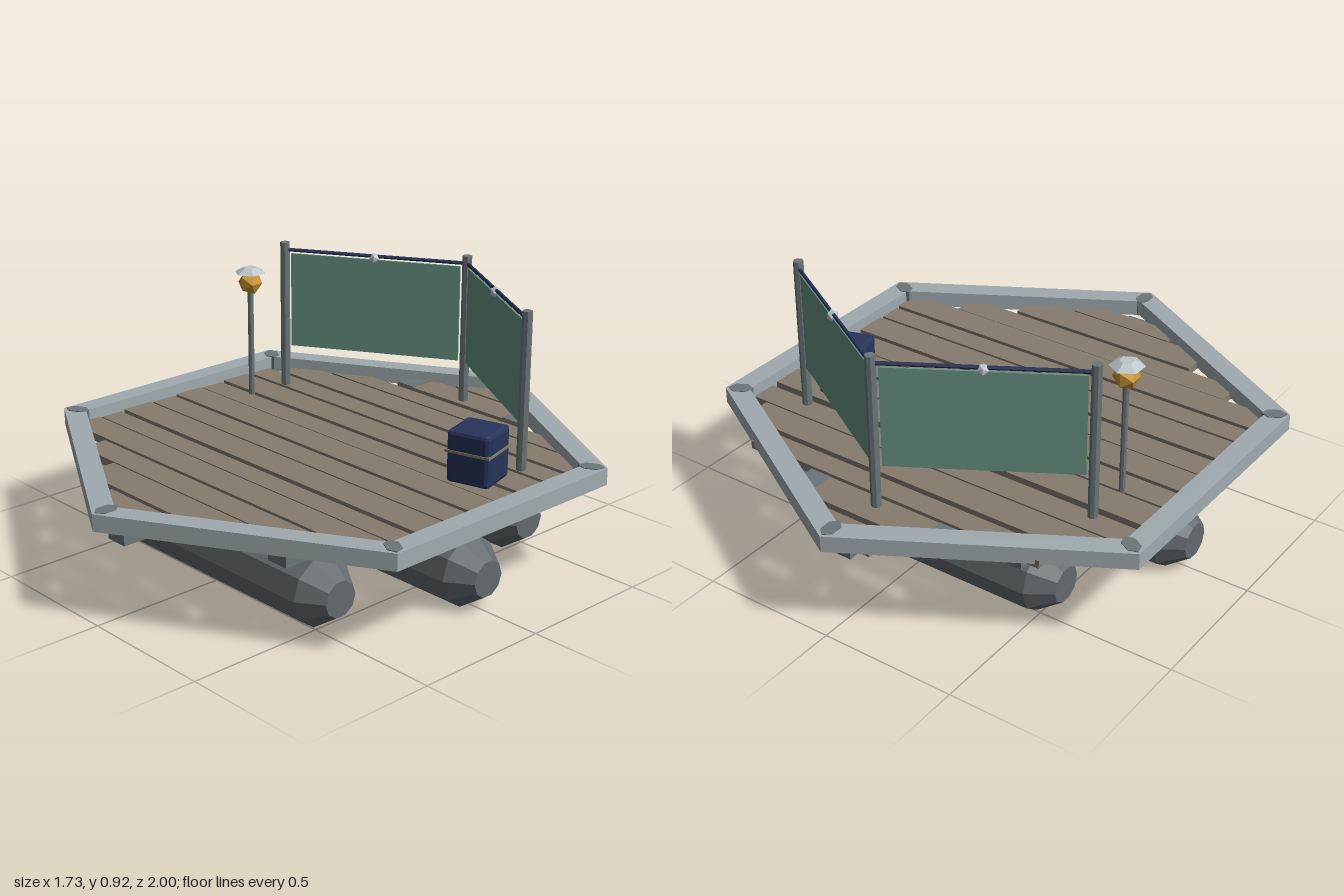
import * as THREE from 'three';
import { RoundedBoxGeometry } from 'three/addons/geometries/RoundedBoxGeometry.js';

const material = (name, color, opts = {}) => {
  const m = new THREE.MeshStandardMaterial({ color, flatShading: true, ...opts });
  m.name = name;
  return m;
};

export function createModel() {
  const root = new THREE.Group();
  const frameGrey = material('frame grey', 0xa0abaf);
  const metal = material('dark metal', 0x6b7578);
  const floatGrey = material('float grey', 0x62696d);
  const wood = material('weathered wood', 0x857c6e);
  const navy = material('navy', 0x27335a);
  const cloth = material('green cloth', 0x66907f, { side: THREE.DoubleSide });
  const gold = material('lamp gold', 0xc6952c);
  const pale = material('pale metal', 0xbcc5c9);

  const add = (name, geometry, mat, x = 0, y = 0, z = 0, parent = root) => {
    const mesh = new THREE.Mesh(geometry, mat);
    mesh.name = name;
    mesh.position.set(x, y, z);
    parent.add(mesh);
    return mesh;
  };
  const box = (name, w, h, d, mat, x, y, z, parent) =>
    add(name, new THREE.BoxGeometry(w, h, d), mat, x, y, z, parent);

  // Hexagonal rim with a corner on the z axis
  const hexPoints = (r) => Array.from({ length: 6 }, (_, i) => {
    const a = Math.PI / 2 + i * Math.PI / 3;
    return new THREE.Vector2(Math.cos(a) * r, Math.sin(a) * r);
  });
  const rim = new THREE.Shape(hexPoints(1));
  rim.holes.push(new THREE.Path(hexPoints(0.912).reverse()));
  const rimGeometry = new THREE.ExtrudeGeometry(rim, { depth: 0.06, bevelEnabled: false });
  rimGeometry.rotateX(-Math.PI / 2);
  add('deckRim', rimGeometry, frameGrey, 0, 0.34, 0);

  // Corner fittings
  hexPoints(0.945).forEach((p) => {
    const fitting = add('cornerFitting', new THREE.CylinderGeometry(0.036, 0.036, 0.06, 6), metal, p.x, 0.373, p.y);
    fitting.rotation.y = Math.atan2(p.x, p.y);
    fitting.scale.set(0.8, 1, 1.25);
  });

  // Deck planks: centre z, depth, half length
  const planks = [
    [-0.87, 0.1, 0.13], [-0.74, 0.12, 0.31], [-0.62, 0.083, 0.6], [-0.503, 0.115, 0.725],
    [-0.387, 0.094, 0.83], [-0.258, 0.117, 0.81], [-0.138, 0.095, 0.83], [-0.021, 0.117, 0.81],
    [0.098, 0.1, 0.83], [0.223, 0.122, 0.81], [0.343, 0.086, 0.83], [0.455, 0.114, 0.8],
    [0.57, 0.1, 0.59], [0.695, 0.126, 0.385], [0.81, 0.08, 0.21],
  ];
  planks.forEach(([z, depth, half], i) =>
    box('plank', half * 2, 0.03, depth, wood, 0, 0.342 + (i % 2) * 0.004, z));

  // Worn grey patches at the ends of the rear plank
  for (const s of [-1, 1]) box('wornPatch', 0.08, 0.004, 0.118, metal, s * 0.27, 0.362, -0.74);

  // Joists with dark bearing strips
  [[-0.475, 0.64], [0, 0.91], [0.475, 0.64]].forEach(([x, half]) => {
    box('joist', 0.085, 0.05, half * 2, metal, x, 0.3, 0);
    box('joistStrip', 0.08, 0.004, half * 2 - 0.1, navy, x, 0.327, 0);
  });

  // Ten-sided floats with tapered ends
  [[-0.455, 0.57], [0, 0.79], [0.455, 0.57]].forEach(([z, half]) => {
    const straight = half - 0.087;
    const profile = [[0, -half], [0.065, -half], [0.125, -straight], [0.125, straight], [0.065, half], [0, half]]
      .map(([r, h]) => new THREE.Vector2(r, h));
    const geometry = new THREE.LatheGeometry(profile, 10);
    geometry.rotateZ(Math.PI / 2);
    add('float', geometry, floatGrey, 0, 0.125, z);
  });

  // Windbreak: three posts and two cloth panels
  const middle = new THREE.Vector3(0, 0, -0.72);
  const postGeometry = new THREE.CylinderGeometry(0.018, 0.018, 0.57, 8);
  add('windbreakPost', postGeometry, metal, 0, 0.64, -0.72);
  for (const s of [-1, 1]) {
    const end = new THREE.Vector3(s * 0.605, 0, -0.36);
    add('windbreakPost', postGeometry, metal, end.x, 0.64, end.z);
    const length = end.distanceTo(middle);
    const side = new THREE.Group();
    side.name = s > 0 ? 'leftWindbreak' : 'rightWindbreak';
    side.position.addVectors(middle, end).multiplyScalar(0.5);
    side.rotation.y = -s * Math.atan2(0.36, 0.605);
    root.add(side);
    box('clothPanel', length - 0.05, 0.365, 0.008, cloth, 0, 0.7, 0, side);
    const rail = new THREE.CylinderGeometry(0.007, 0.007, length, 6);
    rail.rotateZ(Math.PI / 2);
    add('topRail', rail, navy, 0, 0.896, 0, side);
    add('railBead', new THREE.IcosahedronGeometry(0.021, 0), pale, 0, 0.888, 0, side);
  }

  // Lamp on a pole
  const lamp = new THREE.Group();
  lamp.name = 'lamp';
  lamp.position.set(-0.607, 0, -0.187);
  root.add(lamp);
  add('lampPole', new THREE.CylinderGeometry(0.011, 0.011, 0.42, 8), metal, 0, 0.56, 0, lamp);
  add('lampGlobe', new THREE.IcosahedronGeometry(0.047, 0), gold, 0, 0.8, 0, lamp);
  add('lampCap', new THREE.CylinderGeometry(0.026, 0.06, 0.02, 6), pale, 0, 0.848, 0, lamp);

  // Storage chest with a strap
  const chest = new THREE.Group();
  chest.name = 'chest';
  chest.position.set(0.56, 0, -0.187);
  chest.rotation.y = 0.27;
  root.add(chest);
  add('chestBody', new RoundedBoxGeometry(0.16, 0.188, 0.16, 1, 0.014), navy, 0, 0.452, 0, chest);
  box('chestStrap', 0.167, 0.009, 0.167, wood, 0, 0.472, 0, chest);

  return root;
}
